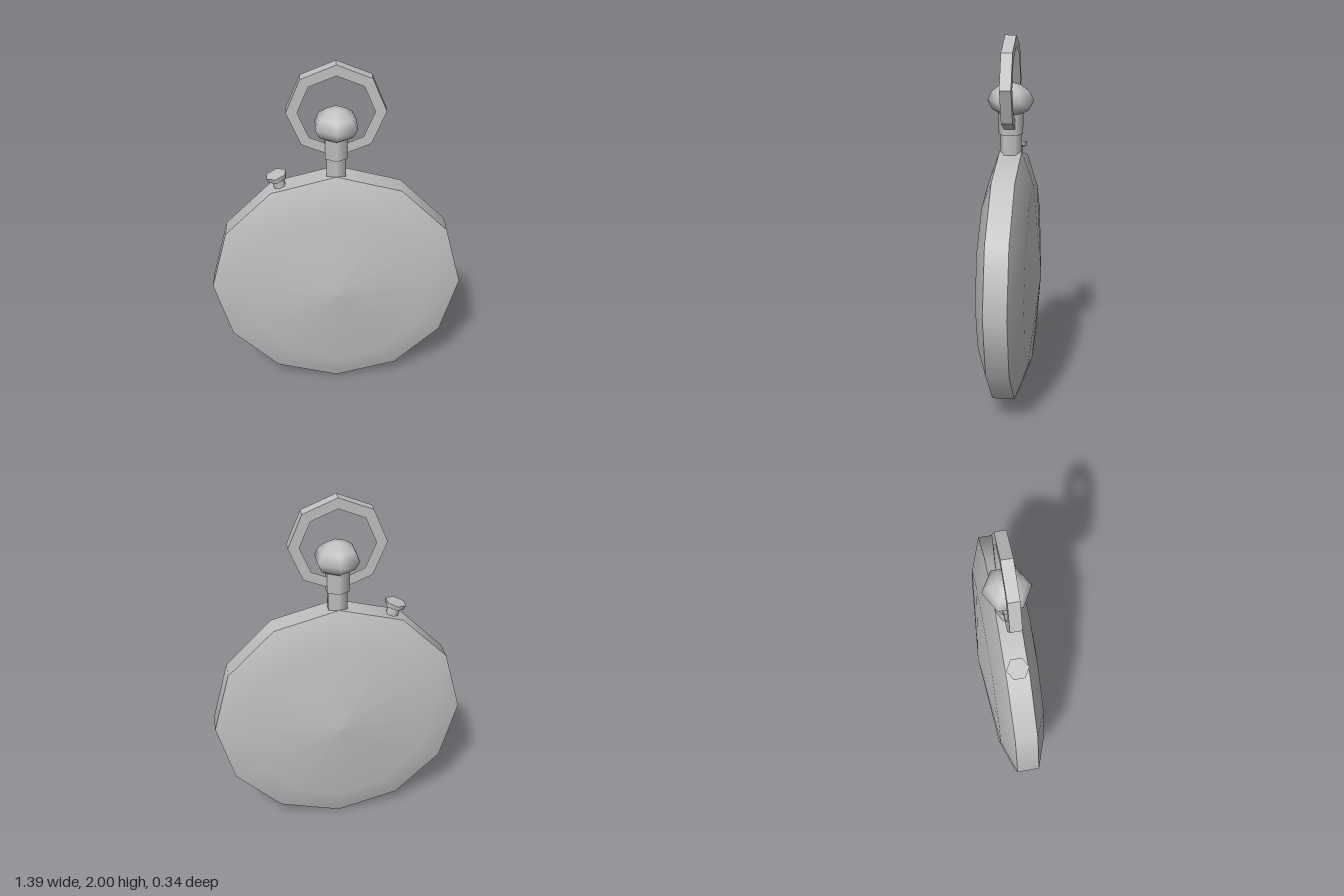
import * as THREE from 'three';

const silver = new THREE.MeshStandardMaterial({ color: 0xc0c0c0 });
silver.name = 'silver';

// Turned part: profile points [radius, height] listed from bottom to top
function turned(name, profile, sides) {
  const points = profile.map(([r, y]) => new THREE.Vector2(r, y));
  const mesh = new THREE.Mesh(new THREE.LatheGeometry(points, sides), silver);
  mesh.name = name;
  return mesh;
}

function cylinder(name, rTop, rBottom, y0, y1) {
  const geometry = new THREE.CylinderGeometry(rTop, rBottom, y1 - y0, 6);
  geometry.translate(0, (y0 + y1) / 2, 0);
  const mesh = new THREE.Mesh(geometry, silver);
  mesh.name = name;
  return mesh;
}

function octagon(target, radius) {
  for (let i = 0; i < 8; i++) {
    const a = (i / 8) * Math.PI * 2;
    target[i ? 'lineTo' : 'moveTo'](radius * Math.sin(a), radius * Math.cos(a));
  }
  target.closePath();
  return target;
}

export function createModel() {
  const model = new THREE.Group();
  model.name = 'pocketWatch';

  // Twelve-sided case: a straight rim between two shallow domes
  const R = 0.693;
  const watchCase = new THREE.Group();
  watchCase.name = 'case';
  watchCase.add(
    turned('backCover', [[0, -0.17], [0.51, -0.124], [R, -0.06]], 12),
    turned('rim', [[R, -0.06], [R, 0.06]], 12),
    turned('frontCover', [[R, 0.06], [0.51, 0.124], [0, 0.17]], 12)
  );
  watchCase.rotation.x = Math.PI / 2;
  watchCase.position.y = R;
  model.add(watchCase);

  // Stem, collar and crown knob
  model.add(
    cylinder('neck', 0.058, 0.058, 1.36, 1.5),
    cylinder('collar', 0.067, 0.067, 1.48, 1.6),
    turned('crown', [[0, 1.58], [0.055, 1.585], [0.1, 1.612], [0.125, 1.66],
      [0.1, 1.71], [0.05, 1.745], [0, 1.757]], 6)
  );

  // Octagonal hanging ring
  const outline = octagon(new THREE.Shape(), 0.255);
  outline.holes.push(octagon(new THREE.Path(), 0.197));
  const ringGeometry = new THREE.ExtrudeGeometry(outline, { depth: 0.06, bevelEnabled: false });
  ringGeometry.translate(0, 1.745, -0.03);
  const ring = new THREE.Mesh(ringGeometry, silver);
  ring.name = 'hangingRing';
  model.add(ring);

  // Side push button, square to the rim facet it sits on
  const button = new THREE.Group();
  button.name = 'pushButton';
  button.add(
    cylinder('buttonStem', 0.034, 0.034, -0.02, 0.055),
    cylinder('buttonCap', 0.059, 0.054, 0.045, 0.071)
  );
  button.position.set(-0.298, 1.307, 0);
  button.rotation.z = Math.PI / 12;
  model.add(button);

  return model;
}
